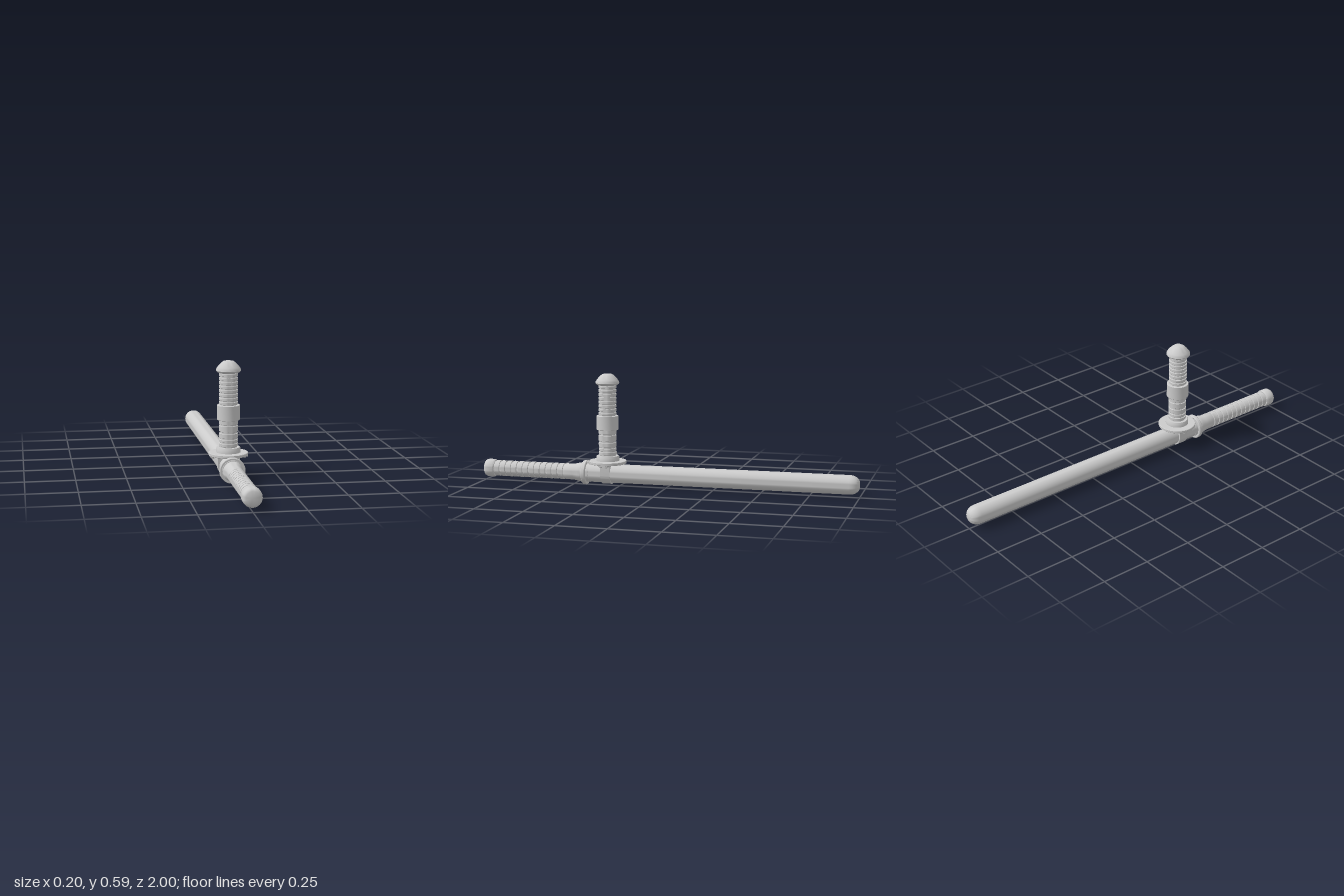
import * as THREE from 'three';
import { toCreasedNormals } from 'three/addons/utils/BufferGeometryUtils.js';

const AXIS_Y = 0.065; // height of the long shaft's centre line
const HANDLE_Z = 0.315; // position of the side handle along the shaft

const mat = new THREE.MeshStandardMaterial({ color: 0xcccccc });

function part(name, geometry, x = 0, y = 0, z = 0) {
  const mesh = new THREE.Mesh(geometry, mat);
  mesh.name = name;
  mesh.position.set(x, y, z);
  return mesh;
}

// Turned solid from [radius, height] pairs, listed from low to high
function turned(points, segments = 32) {
  const g = new THREE.LatheGeometry(points.map(([r, h]) => new THREE.Vector2(r, h)), segments);
  return toCreasedNormals(g, 0.6);
}

// Profile points of one raised rib with a small bevel, sitting between two grooves
function rib(from, to, r, grooveR) {
  const b = 0.0015;
  return [[grooveR, from], [r - b, from], [r, from + b], [r, to - b], [r - b, to], [grooveR, to]];
}

// Evenly spaced ribs between two heights
function ribs(from, to, count, r, grooveR, gap) {
  const pitch = (to - from) / count;
  const out = [];
  for (let i = 0; i < count; i++) {
    const start = from + i * pitch;
    out.push(...rib(start + gap / 2, start + pitch - gap / 2, r, grooveR));
  }
  return out;
}

function makeBaton() {
  const baton = new THREE.Group();
  baton.name = 'baton';

  // Long plain shaft with a rounded far end
  const tip = [];
  for (let i = 0; i <= 8; i++) {
    const a = (i / 8) * Math.PI / 2;
    tip.push([i === 0 ? 0 : 0.012 + 0.037 * Math.sin(a), -0.95 - 0.05 * Math.cos(a)]);
  }
  baton.add(part('shaft', turned([...tip, [0.049, 0.42], [0, 0.42]]).rotateX(Math.PI / 2)));

  // Ribbed grip with a flared neck
  const grip = [
    [0, 0.41], [0.05, 0.41], [0.05, 0.46], [0.048, 0.472], [0.042, 0.5], [0.042, 0.545],
    ...ribs(0.55, 0.94, 12, 0.042, 0.037, 0.007),
    [0.037, 0.945], [0, 0.945],
  ];
  baton.add(part('grip', turned(grip).rotateX(Math.PI / 2)));

  // Butt cap
  const butt = [
    [0, 0.942], [0.043, 0.942], [0.047, 0.948], [0.047, 0.978],
    [0.045, 0.989], [0.04, 0.996], [0.033, 1], [0, 1],
  ];
  baton.add(part('buttCap', turned(butt).rotateX(Math.PI / 2)));

  // Guard ring in front of the grip
  const ring = [
    [0, 0.425], [0.061, 0.425], [0.064, 0.428], [0.064, 0.443], [0.061, 0.446],
    [0.053, 0.446], [0.053, 0.455], [0, 0.455],
  ];
  baton.add(part('guardRing', turned(ring).rotateX(Math.PI / 2)));

  baton.position.y = AXIS_Y;
  return baton;
}

function makeClamp() {
  const clamp = new THREE.Group();
  clamp.name = 'clamp';

  // Strap around the shaft with a flange to each side
  const s = new THREE.Shape();
  s.moveTo(-0.093, 0.054);
  s.lineTo(-0.093, 0.047);
  s.lineTo(-0.06, 0.047);
  s.quadraticCurveTo(-0.055, 0.046, -0.055, 0.04);
  s.lineTo(-0.055, 0);
  s.absarc(0, 0, 0.055, Math.PI, Math.PI * 2, false);
  s.lineTo(0.055, 0.04);
  s.quadraticCurveTo(0.055, 0.046, 0.06, 0.047);
  s.lineTo(0.093, 0.047);
  s.lineTo(0.093, 0.054);
  s.closePath();
  const strap = new THREE.ExtrudeGeometry(s, { depth: 0.05, bevelEnabled: false, curveSegments: 24 });
  strap.translate(0, 0, -0.025);
  clamp.add(part('strap', toCreasedNormals(strap, 0.6)));

  // Screws under the flanges
  for (const side of [-1, 1]) {
    for (const z of [-0.014, 0.014]) {
      clamp.add(part('screwHead', new THREE.CylinderGeometry(0.009, 0.007, 0.007, 12), side * 0.079, 0.0435, z));
    }
  }
  clamp.position.set(0, AXIS_Y, HANDLE_Z);
  return clamp;
}

function makeSideHandle() {
  const handle = new THREE.Group();
  handle.name = 'sideHandle';

  // Flat mounting disc and stepped foot
  handle.add(part('mountingDisc', turned([
    [0, 0.118], [0.096, 0.118], [0.098, 0.12], [0.098, 0.131], [0.096, 0.133], [0, 0.133],
  ], 40)));
  handle.add(part('foot', turned([
    [0, 0.13], [0.06, 0.13], [0.06, 0.154], [0.057, 0.159], [0, 0.159],
  ])));

  // Ribbed post, with coarser ribs below the band
  const core = 0.042;
  handle.add(part('post', turned([
    [0, 0.155], [core, 0.155],
    ...rib(0.164, 0.18, 0.047, core),
    ...rib(0.186, 0.2, 0.047, core),
    ...rib(0.206, 0.23, 0.047, core),
    ...rib(0.238, 0.268, 0.047, core),
    ...rib(0.274, 0.296, 0.047, core),
    ...ribs(0.37, 0.53, 8, 0.047, core, 0.006),
    [core, 0.535], [0, 0.535],
  ])));

  // Plain band
  handle.add(part('band', turned([
    [0, 0.295], [0.055, 0.295], [0.057, 0.297], [0.057, 0.368], [0.055, 0.37], [0, 0.37],
  ])));

  // Domed pommel
  handle.add(part('pommel', turned([
    [0, 0.529], [0.05, 0.529], [0.059, 0.535], [0.062, 0.54], [0.061, 0.547], [0.055, 0.557],
    [0.045, 0.569], [0.035, 0.579], [0.025, 0.586], [0.015, 0.588], [0, 0.589],
  ])));

  handle.position.z = HANDLE_Z;
  return handle;
}

export function createModel() {
  const model = new THREE.Group();
  model.name = 'sideHandleBaton';
  model.add(makeBaton(), makeClamp(), makeSideHandle());
  // Small tab joining the guard ring to the mounting disc
  model.add(part('tab', new THREE.BoxGeometry(0.024, 0.016, 0.04), 0, 0.117, 0.41));
  return model;
}
